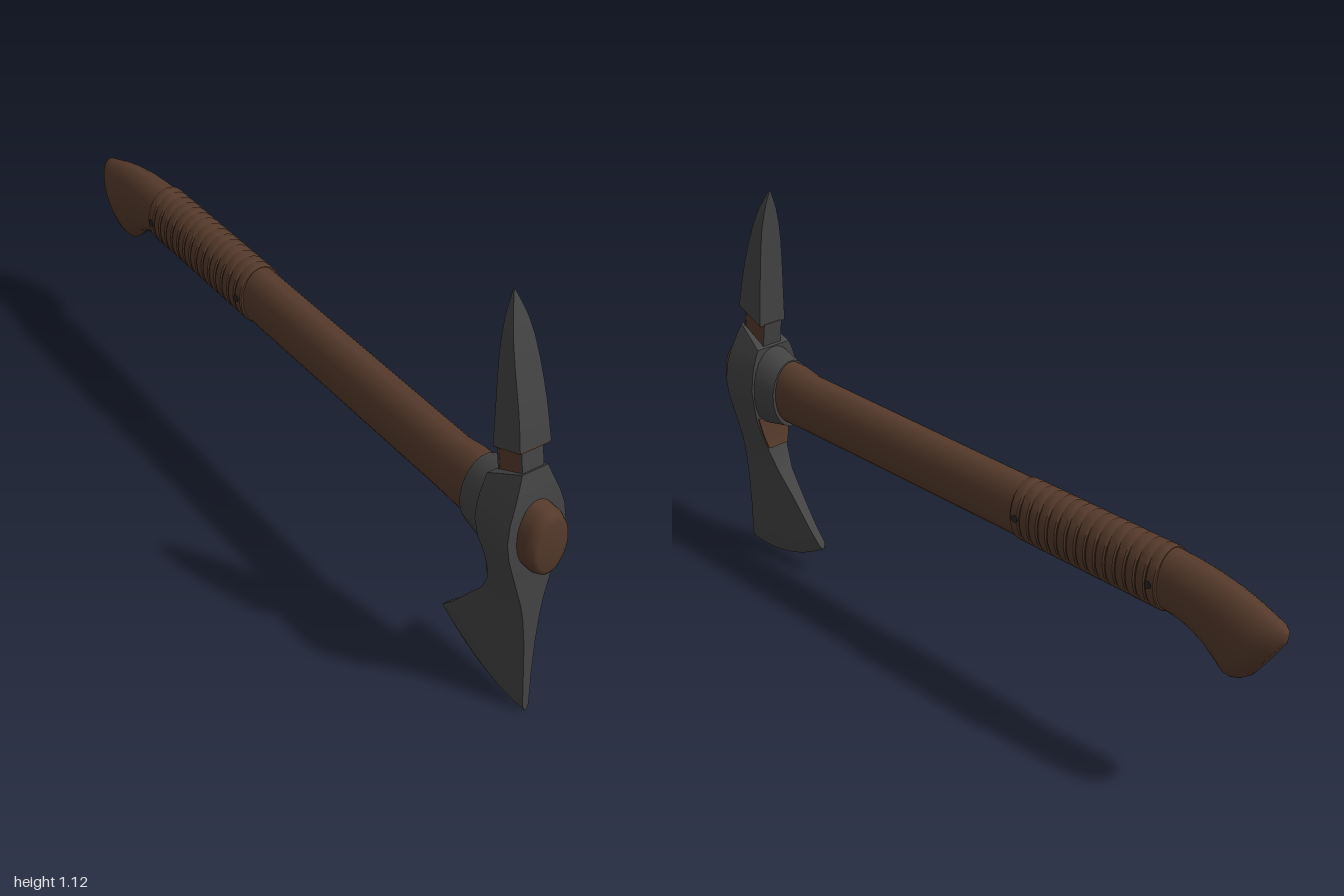
import * as THREE from 'three';
import { toCreasedNormals } from 'three/addons/utils/BufferGeometryUtils.js';

const material = (name, color) => {
  const m = new THREE.MeshStandardMaterial({ color });
  m.name = name;
  return m;
};

// Skin a list of closed rings (each an array of [x, y, z]) and cap both ends
function loft(rings, crease = 0.6) {
  const n = rings[0].length, pos = rings.flat(2), index = [];
  for (let r = 0; r < rings.length - 1; r++) {
    for (let i = 0; i < n; i++) {
      const a = r * n + i, b = r * n + (i + 1) % n;
      index.push(a, b, a + n, b, b + n, a + n);
    }
  }
  const last = (rings.length - 1) * n;
  // Strip caps suit rings that are mirrored in x
  for (let i = 0; i < n / 2 - 1; i++) {
    const j = n - 1 - i;
    index.push(i, j, i + 1, i + 1, j, j - 1);
    index.push(last + i, last + i + 1, last + j, last + i + 1, last + j - 1, last + j);
  }
  // Turn the faces outward if the signed volume is negative
  let volume = 0;
  const p = (k) => new THREE.Vector3().fromArray(pos, index[k] * 3);
  for (let k = 0; k < index.length; k += 3) volume += p(k).dot(p(k + 1).cross(p(k + 2)));
  if (volume < 0) index.reverse();
  const g = new THREE.BufferGeometry();
  g.setAttribute('position', new THREE.Float32BufferAttribute(pos, 3));
  g.setIndex(index);
  return toCreasedNormals(g, crease);
}

// Elliptical ring spanning a top point and a bottom point in the z-y plane
function oval([tz, ty, bz, by, w], n = 32) {
  return Array.from({ length: n }, (_, i) => {
    const a = ((i + 0.5) / n) * Math.PI * 2 + Math.PI / 2;
    const s = Math.sin(a);
    return [w * Math.cos(a), (ty + by) / 2 + s * (ty - by) / 2, (tz + bz) / 2 + s * (tz - bz) / 2];
  });
}

// Rectangular ring from a front point to a back point, w is half width
const slab = ([fz, fy, bz, by, w]) => [[w, fy, fz], [w, by, bz], [-w, by, bz], [-w, fy, fz]];

// Half thickness of the head at each height
const THICK = [[0, 0.005], [0.02, 0.009], [0.1, 0.011], [0.2, 0.015], [0.26, 0.02], [0.3, 0.025],
  [0.35, 0.034], [0.4, 0.048], [0.45, 0.062], [0.5, 0.076], [0.55, 0.083], [0.6, 0.077],
  [0.65, 0.061], [0.68, 0.048], [0.72, 0.033]];
function thickness(y) {
  const i = Math.max(1, THICK.findIndex((t) => t[0] >= y));
  const [y0, w0] = THICK[i - 1], [y1, w1] = THICK[i];
  return THREE.MathUtils.lerp(w0, w1, (y - y0) / (y1 - y0));
}

// Head row: sagging line from front to back, thickened on both sides
function headRow([fz, fy, bz, by, sag = 0], r, rows) {
  const right = [], steps = 10;
  for (let i = 0; i <= steps; i++) {
    const t = i / steps;
    const y = fy + (by - fy) * t - sag * 4 * t * (1 - t);
    const w = r === rows.length - 1 ? 0.003 : thickness(Math.max(y, 0.001));
    right.push([w, Math.max(y, 0), fz + (bz - fz) * t]);
  }
  return [...right, ...right.map(([x, y, z]) => [-x, y, z]).reverse()];
}

export function createModel() {
  const steel = material('dark steel', 0x434343);
  const wood = material('brown wood', 0x553a2b);
  const dark = material('dark rivet', 0x2a2422);
  const model = new THREE.Group();
  model.name = 'axe';
  const add = (name, geometry, mat) => {
    const mesh = new THREE.Mesh(geometry, mat);
    mesh.name = name;
    model.add(mesh);
    return mesh;
  };

  // Handle with a rounded front end and a drooping butt
  add('handle', loft([
    [1, 0.615, 1, 0.475, 0.04],
    [0.995, 0.628, 0.995, 0.462, 0.05],
    [0.975, 0.638, 0.975, 0.453, 0.057],
    [0.72, 0.638, 0.72, 0.455, 0.059],
    [0.66, 0.627, 0.66, 0.457, 0.056],
    [0, 0.626, 0, 0.46, 0.056],
    [-0.64, 0.626, -0.64, 0.463, 0.056],
    [-0.71, 0.623, -0.69, 0.46, 0.056],
    [-0.78, 0.616, -0.735, 0.448, 0.056],
    [-0.85, 0.604, -0.775, 0.427, 0.056],
    [-0.91, 0.588, -0.81, 0.398, 0.056],
    [-0.955, 0.573, -0.835, 0.374, 0.054],
    [-0.985, 0.563, -0.855, 0.37, 0.048],
    [-0.999, 0.55, -0.88, 0.377, 0.036],
    [-0.998, 0.525, -0.91, 0.398, 0.018],
  ].map((s) => oval(s)), 0.9), wood);

  // Wrapped grip with shallow ridges
  const grip = [];
  const turns = 15, start = -0.18, pitch = 0.48 / turns;
  for (let i = 0; i < turns; i++) {
    const z = start - i * pitch;
    for (const [f, e] of [[0.03, 0], [0.15, 0.003], [0.85, 0.003], [0.97, 0]]) {
      const zz = z - f * pitch;
      grip.push(oval([zz, 0.6275 + e * 0.7, zz, 0.4605 - e * 0.7, 0.061 + e]));
    }
  }
  add('grip', loft(grip), wood);

  // Rivets through both ends of the grip
  for (const z of [-0.2, -0.64]) {
    const rivet = add('rivet', new THREE.CylinderGeometry(0.01, 0.01, 0.132, 12), dark);
    rivet.rotation.z = Math.PI / 2;
    rivet.position.set(0, 0.545, z);
  }

  // Axe head: eye, cheeks and flared blade
  add('axeHead', loft([
    [0.925, 0.712, 0.83, 0.664],
    [0.934, 0.675, 0.83, 0.64],
    [0.941, 0.64, 0.83, 0.615],
    [0.945, 0.6, 0.83, 0.585],
    [0.948, 0.55, 0.83, 0.545],
    [0.95, 0.5, 0.835, 0.49],
    [0.951, 0.45, 0.845, 0.44],
    [0.952, 0.4, 0.842, 0.395],
    [0.954, 0.35, 0.832, 0.345],
    [0.956, 0.3, 0.802, 0.285],
    [0.958, 0.22, 0.742, 0.212, 0.005],
    [0.96, 0.12, 0.688, 0.145, 0.02],
    [0.964, 0.022, 0.648, 0.104, 0.03],
    [0.965, 0.006, 0.643, 0.09, 0.03],
  ].map(headRow), 0.5), steel);

  // Tapered collar behind the eye
  add('collar', loft([
    [0.85, 0.664, 0.85, 0.425, 0.077],
    [0.825, 0.661, 0.825, 0.427, 0.075],
    [0.755, 0.642, 0.755, 0.443, 0.067],
  ].map((s) => oval(s, 20)), 0.5), steel);

  // Wooden wedge showing under the collar
  add('wedge', loft([
    [0.845, 0.45, 0.84, 0.45, 0.056],
    [0.843, 0.4, 0.837, 0.4, 0.045],
    [0.834, 0.355, 0.829, 0.355, 0.033],
  ].map(slab)), wood);

  // Neck with wooden sides and steel front and back
  add('neck', loft([[0.917, 0.69, 0.842, 0.66, 0.029], [0.905, 0.766, 0.83, 0.735, 0.029]].map(slab)), wood);
  add('neckFront', loft([[0.921, 0.69, 0.915, 0.69, 0.03], [0.909, 0.768, 0.903, 0.766, 0.03]].map(slab)), steel);
  add('neckBack', loft([[0.844, 0.66, 0.838, 0.66, 0.03], [0.832, 0.735, 0.826, 0.735, 0.03]].map(slab)), steel);

  // Curved four-sided spike
  add('spike', loft([
    [0.92, 0.772, 0.829, 0.735, 0.043],
    [0.911, 0.82, 0.826, 0.8, 0.041],
    [0.9, 0.87, 0.823, 0.86, 0.039],
    [0.886, 0.92, 0.82, 0.915, 0.037],
    [0.871, 0.97, 0.817, 0.968, 0.034],
    [0.855, 1.02, 0.815, 1.02, 0.029],
    [0.839, 1.065, 0.812, 1.065, 0.02],
    [0.825, 1.095, 0.811, 1.095, 0.011],
    [0.812, 1.122, 0.809, 1.122, 0.001],
  ].map(slab), 0.5), steel);
  add('spikeUnderside', loft([
    [0.92, 0.768, 0.829, 0.731, 0.042],
    [0.92, 0.772, 0.829, 0.735, 0.042],
  ].map(slab)), wood);

  return model;
}
